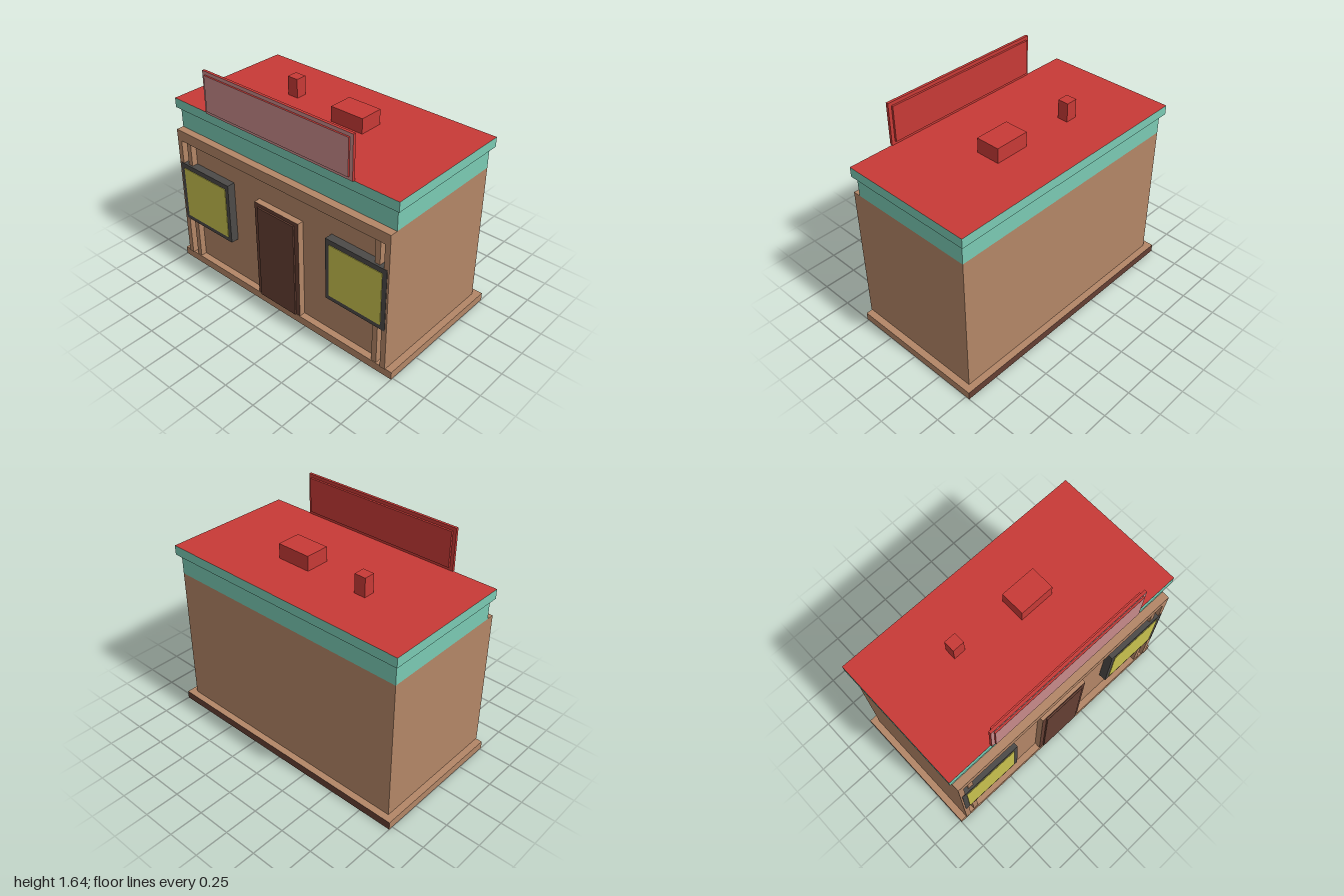
import * as THREE from 'three';

const mat = (name, color) => {
  const m = new THREE.MeshStandardMaterial({ color });
  m.name = name;
  return m;
};

export function createModel() {
  const model = new THREE.Group();
  model.name = 'shop';

  const wall = mat('tan wall', 0xb38667);
  const teal = mat('teal trim', 0x7acab3);
  const red = mat('red roof', 0xc73a36);
  const pink = mat('pink sign face', 0xc88a8a);
  const yellow = mat('yellow glass', 0xc9c24e);
  const grey = mat('dark window frame', 0x4c4a48);
  const brown = mat('dark brown door', 0x643f33);

  // Box given by its extents; faces lists [right, left, top, bottom, front, back] overrides
  function box(name, material, [x0, x1], [y0, y1], [z0, z1], faces = {}) {
    const order = ['px', 'nx', 'py', 'ny', 'pz', 'nz'];
    const hasFaces = Object.keys(faces).length > 0;
    const mesh = new THREE.Mesh(
      new THREE.BoxGeometry(x1 - x0, y1 - y0, z1 - z0),
      hasFaces ? order.map((k) => faces[k] || material) : material
    );
    mesh.position.set((x0 + x1) / 2, (y0 + y1) / 2, (z0 + z1) / 2);
    mesh.name = name;
    model.add(mesh);
    return mesh;
  }

  // Plinth, walls and roof
  box('plinth', wall, [-1, 1], [0, 0.06], [-0.53, 0.515], { nz: brown });
  box('walls', wall, [-0.95, 0.95], [0.06, 1.11], [-0.48, 0.465]);
  box('upperBand', teal, [-0.95, 0.95], [1.11, 1.262], [-0.48, 0.465]);
  box('cornice', teal, [-0.975, 0.975], [1.262, 1.333], [-0.51, 0.49], { py: red });

  // Shopfront beam, paired corner posts and windows
  box('frontBeam', wall, [-0.95, 0.95], [1.03, 1.11], [0.465, 0.522]);
  for (const s of [-1, 1]) {
    const span = (a, b) => (s > 0 ? [a, b] : [-b, -a]);
    box('cornerPost', wall, span(0.91, 0.95), [0.06, 1.03], [0.465, 0.522]);
    box('innerPost', wall, span(0.83, 0.87), [0.06, 1.03], [0.465, 0.51]);
    box('windowFrame', grey, span(0.447, 0.937), [0.375, 0.85], [0.465, 0.525]);
    box('windowGlass', yellow, span(0.477, 0.902), [0.41, 0.813], [0.525, 0.529]);
  }

  // Door with its surround
  box('doorFrame', wall, [-0.2, 0.2], [0.06, 0.83], [0.465, 0.512], { pz: brown });
  box('door', brown, [-0.165, 0.165], [0.06, 0.802], [0.512, 0.524]);

  // Rooftop sign with a raised panel on both sides
  box('signBoard', red, [-0.64, 0.64], [1.333, 1.645], [0.482, 0.502], { pz: pink });
  box('signPanel', red, [-0.615, 0.615], [1.358, 1.62], [0.467, 0.514], { pz: pink });

  // Rooftop vents
  box('chimney', red, [-0.43, -0.343], [1.333, 1.473], [-0.15, -0.068]);
  box('ventBox', red, [0.055, 0.318], [1.333, 1.443], [-0.15, 0.03]);

  return model;
}
